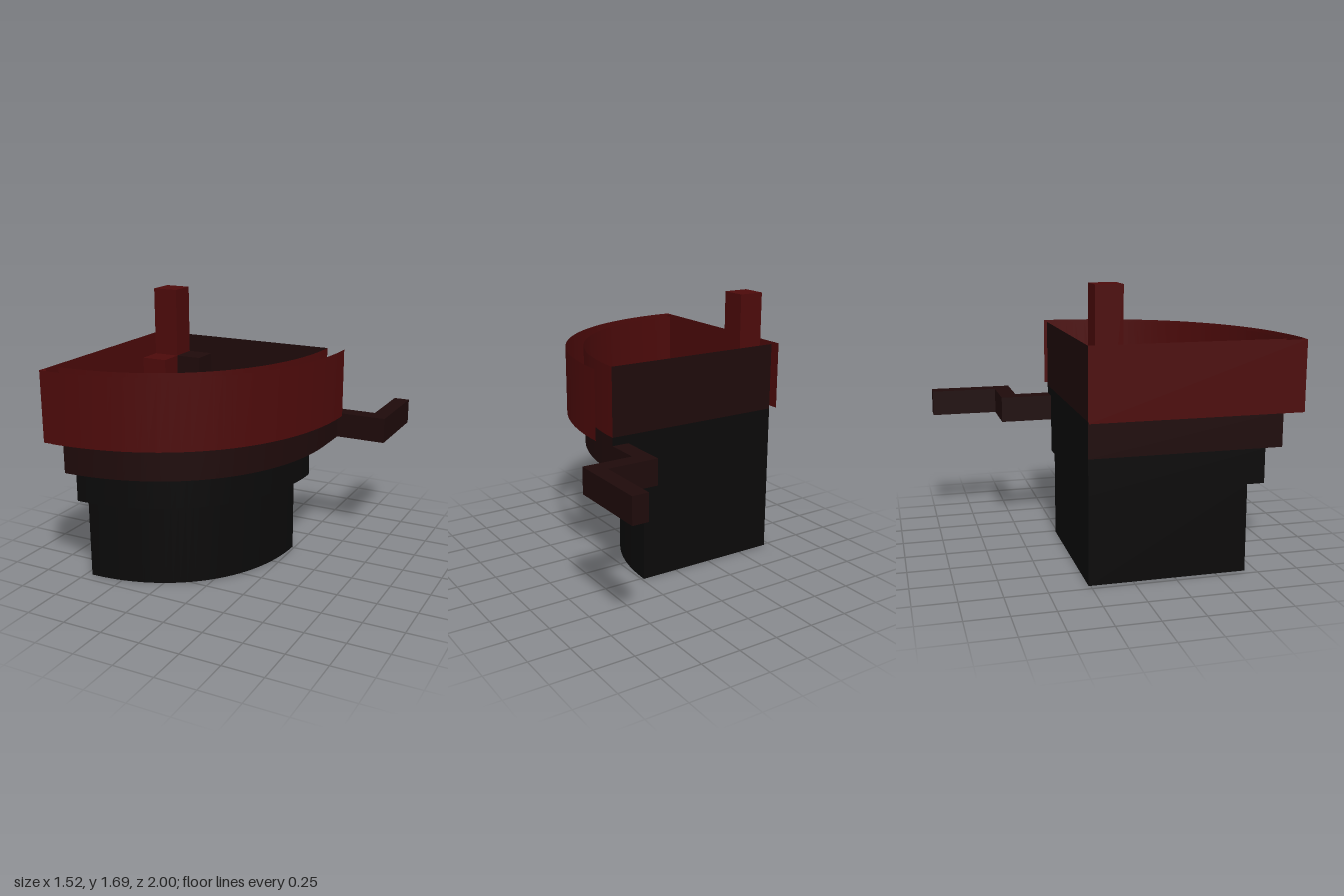
import * as THREE from 'three';

const CX = -0.71, CZ = -0.262; // corner shared by the two flat walls
const Q = Math.PI / 2;

// Slightly full quarter-round outline of unit radius, from front (+z) to side (+x)
const outline = new THREE.CubicBezierCurve(
  new THREE.Vector2(0, 1), new THREE.Vector2(0.595, 1),
  new THREE.Vector2(1, 0.595), new THREE.Vector2(1, 0));

// Curved strip whose two long edges follow the outline at given radii and heights
function strip(rBottom, yBottom, rTop, yTop) {
  const geometry = new THREE.PlaneGeometry(1, 1, 32, 1);
  const pos = geometry.attributes.position;
  for (let i = 0; i < pos.count; i++) {
    const p = outline.getPoint(pos.getX(i) + 0.5);
    const top = pos.getY(i) > 0;
    const r = top ? rTop : rBottom;
    pos.setXYZ(i, CX + r * p.x, top ? yTop : yBottom, CZ + r * p.y);
  }
  geometry.computeVertexNormals();
  return geometry;
}

export function createModel() {
  const group = new THREE.Group();
  const mat = (color) => new THREE.MeshStandardMaterial({ color, side: THREE.DoubleSide });
  const black = mat(0x0a0909), dark = mat(0x1e0a0a), red = mat(0x4c0a0a);

  const add = (name, geometry, material) => {
    const mesh = new THREE.Mesh(geometry, material);
    mesh.name = name;
    group.add(mesh);
    return mesh;
  };

  // Square post standing on the ground or on another, open underneath
  const post = (name, x0, x1, y0, y1, z0, z1, material) => {
    const geometry = new THREE.BoxGeometry(x1 - x0, y1 - y0, z1 - z0);
    const index = Array.from(geometry.index.array);
    index.splice(18, 6);
    geometry.setIndex(index);
    geometry.clearGroups();
    add(name, geometry, material).position.set((x0 + x1) / 2, (y0 + y1) / 2, (z0 + z1) / 2);
  };

  // Tiers, each wider than the one below: curved wall plus two flat walls
  const tiers = [
    ['lower', 0.945, 0, 0.53, black, black],
    ['middle', 1.05, 0.53, 0.74, black, black],
    ['upper', 1.155, 0.74, 0.95, dark, black],
    ['rim', 1.155, 0.95, 1.37, red, dark],
  ];
  for (const [name, r, y0, y1, curved, flat] of tiers) {
    const h = y1 - y0, y = (y0 + y1) / 2;
    add(name + 'CurvedWall', strip(r, y0, r, y1), curved);
    add(name + 'BackWall', new THREE.PlaneGeometry(r, h).rotateY(Math.PI), flat).position.set(CX + r / 2, y, CZ);
    add(name + 'SideWall', new THREE.PlaneGeometry(r, h).rotateY(-Q), curved).position.set(CX, y, CZ + r / 2);
  }

  // Ledges joining the tiers
  add('lowerLedge', strip(1.05, 0.53, 0.945, 0.53), dark);
  add('upperLedge', strip(1.155, 0.74, 1.05, 0.74), dark);

  // Parapet around the rim, with a side panel and its corner return
  add('outerParapet', strip(1.265, 0.95, 1.265, 1.37), red);
  add('parapetSidePanel', new THREE.PlaneGeometry(1.27, 0.42).rotateY(-Q), red).position.set(-0.76, 1.16, 0.365);
  add('parapetCornerReturn', new THREE.PlaneGeometry(0.05, 0.42), red).position.set(-0.735, 1.16, 1);
  const corner = new THREE.Shape([[-0.76, -0.95], [-0.76, -1], [-0.71, -1]].map(p => new THREE.Vector2(...p)));
  add('parapetCornerCap', new THREE.ShapeGeometry(corner).rotateX(-Q), red).position.y = 1.37;

  // Zigzag arm running out of the back
  const armOutline = [[0.34, 0.26], [0.445, 0.26], [0.445, 0.48], [0.76, 0.48],
    [0.76, 1], [0.66, 1], [0.66, 0.585], [0.34, 0.585]].map(p => new THREE.Vector2(...p));
  const arm = new THREE.ExtrudeGeometry(new THREE.Shape(armOutline), { depth: 0.16, bevelEnabled: false });
  add('zigzagArm', arm.rotateX(-Q), dark).position.y = 0.74;

  // Cluster of square pillars and a stepped block inside
  post('tallPillar', -0.66, -0.5, 0, 1.69, -0.21, -0.05, red);
  post('sidePillar', -0.5, -0.34, 0, 1.27, -0.21, -0.05, dark);
  post('frontPillar', -0.66, -0.5, 0, 1.27, -0.05, 0.1, red);
  post('blockBase', -0.55, -0.13, 0, 0.64, -0.1, 0.31, black);
  post('blockTop', -0.5, -0.19, 0.64, 0.85, -0.05, 0.26, dark);

  return group;
}
